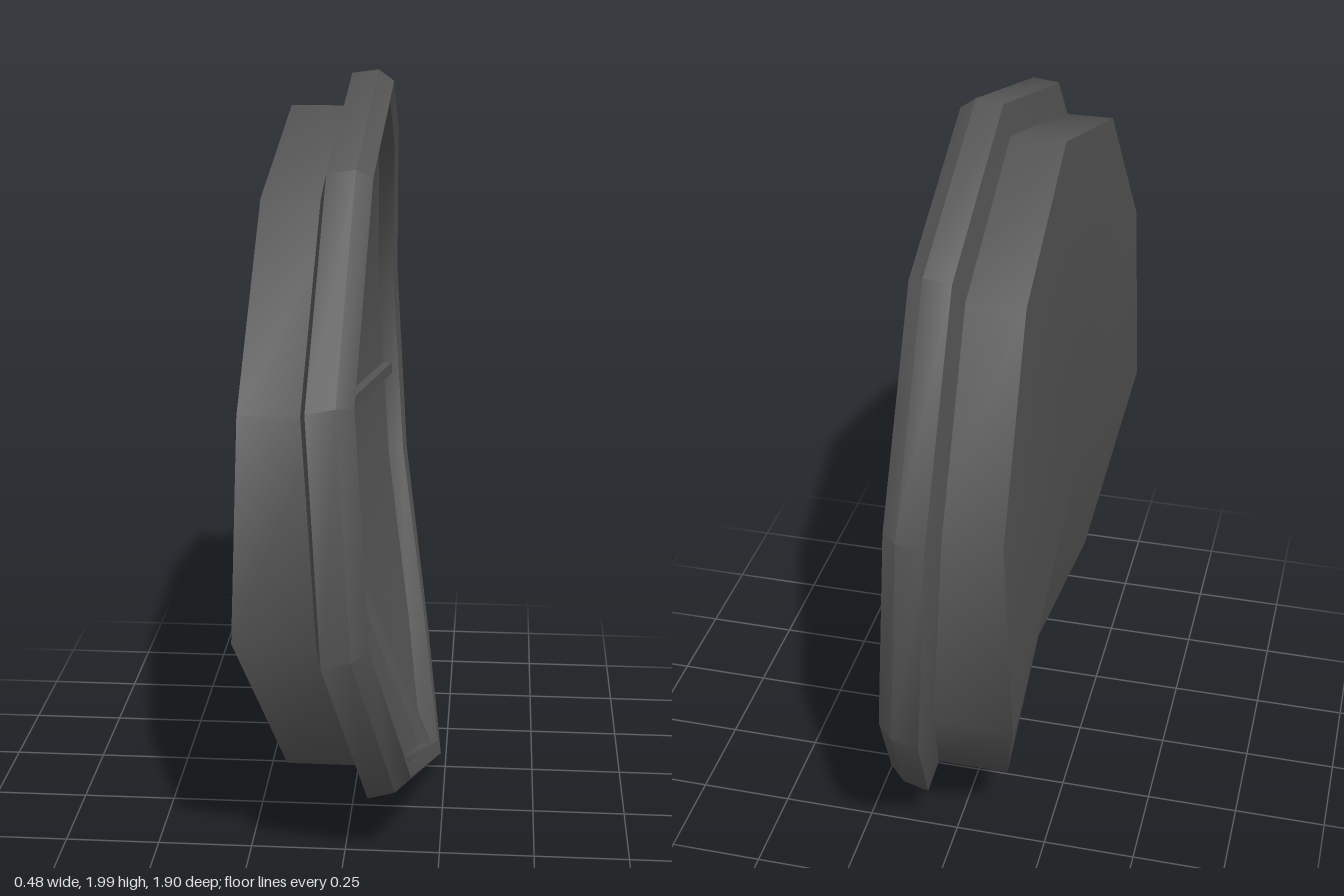
import * as THREE from 'three';
import { toCreasedNormals } from 'three/addons/utils/BufferGeometryUtils.js';

const SIDES = 10;
const TWIST = 0.037; // small roll of the whole disc about its axis
const CENTRE_Y = 1;

// Bend of the disc, from the top corner (0) down to the bottom corner (5)
const RIM_X = [-0.02, -0.037, -0.055, -0.02, 0.067, 0.128];
const BACK_X = [-0.18, -0.2, -0.22, -0.24, -0.145, -0.035];

// Value at corner k (fractions allowed), mirrored on both halves
function bend(list, k) {
  const m = k > 5 ? 10 - k : k;
  const i = Math.min(Math.floor(m), 4);
  return THREE.MathUtils.lerp(list[i], list[i + 1], m - i);
}

// Depth of the dished panel: straight slope from hub to rim
const edgeX = (k) => bend(RIM_X, k) + 0.055;
const hubX = (k) => -0.11 + (edgeX(k) + 0.11) * 0.22;

const material = new THREE.MeshStandardMaterial({ color: 0x555555 });

function addMesh(group, name, geometry) {
  const mesh = new THREE.Mesh(geometry, material);
  mesh.name = name;
  group.add(mesh);
}

// Ten-sided skin through rows of [radius, x(k), rise]
function ringSkin(rows, crease = 0.7) {
  const point = ([r, x, rise = 0], k) => {
    const a = (k / SIDES) * Math.PI * 2 + TWIST;
    return new THREE.Vector3(x(k % SIDES), CENTRE_Y + r * Math.cos(a) + rise, -r * Math.sin(a));
  };
  const positions = [];
  const triangle = (a, b, c) => {
    if (new THREE.Triangle(a, b, c).getArea() < 1e-7) return;
    for (const p of [a, b, c]) positions.push(p.x, p.y, p.z);
  };
  for (let i = 0; i < rows.length - 1; i++) {
    for (let k = 0; k < SIDES; k++) {
      const a = point(rows[i], k), b = point(rows[i + 1], k);
      const c = point(rows[i + 1], k + 1), d = point(rows[i], k + 1);
      triangle(a, b, c);
      triangle(a, c, d);
    }
  }
  const geometry = new THREE.BufferGeometry();
  geometry.setAttribute('position', new THREE.Float32BufferAttribute(positions, 3));
  return toCreasedNormals(geometry, crease);
}

// Thin bar lying on the panel between hub and rim
function spoke(k) {
  const geometry = new THREE.BoxGeometry(0.05, 1, 0.036);
  const apothem = k % 1 ? Math.cos(Math.PI / SIDES) : 1;
  const p = geometry.attributes.position;
  for (let i = 0; i < p.count; i++) {
    const t = p.getY(i) + 0.5;
    p.setX(i, p.getX(i) + THREE.MathUtils.lerp(hubX(k), edgeX(k), t));
    p.setY(i, THREE.MathUtils.lerp(0.33, 0.905, t) * apothem);
  }
  geometry.rotateX(-((k / SIDES) * Math.PI * 2 + TWIST));
  geometry.translate(0, CENTRE_Y, 0);
  geometry.computeVertexNormals();
  return geometry;
}

export function createModel() {
  const group = new THREE.Group();
  group.name = 'bentDisc';
  const rimAt = (offset) => (k) => bend(RIM_X, k) + offset;

  // Back body with a closed rear face
  addMesh(group, 'backBody', ringSkin([
    [0, () => -0.232],
    [0.905, (k) => bend(BACK_X, k)],
    [0.905, rimAt(0.03)],
  ]));

  // Chamfered rim, tilted slightly upward towards the front
  addMesh(group, 'rim', ringSkin([
    [0.895, rimAt(-0.02)],
    [0.99, rimAt(0)],
    [0.985, rimAt(0.07), 0.014],
    [0.95, rimAt(0.11), 0.02],
    [0.905, rimAt(0.1), 0.012],
    [0.905, rimAt(0.045)],
  ]));

  // Dished front panel
  addMesh(group, 'panel', ringSkin([
    [0.91, edgeX],
    [0.33, hubX],
    [0, () => -0.1],
  ]));

  // Raised ring in the middle
  addMesh(group, 'hubRing', ringSkin([
    [0.35, (k) => hubX(k) - 0.01],
    [0.345, (k) => hubX(k) + 0.03],
    [0.33, (k) => hubX(k) + 0.042],
    [0.3, (k) => hubX(k) + 0.035],
    [0.3, (k) => hubX(k) - 0.02],
  ]));

  // Four spokes
  for (const k of [0, 2.5, 5, 7.5]) addMesh(group, 'spoke', spoke(k));

  return group;
}
